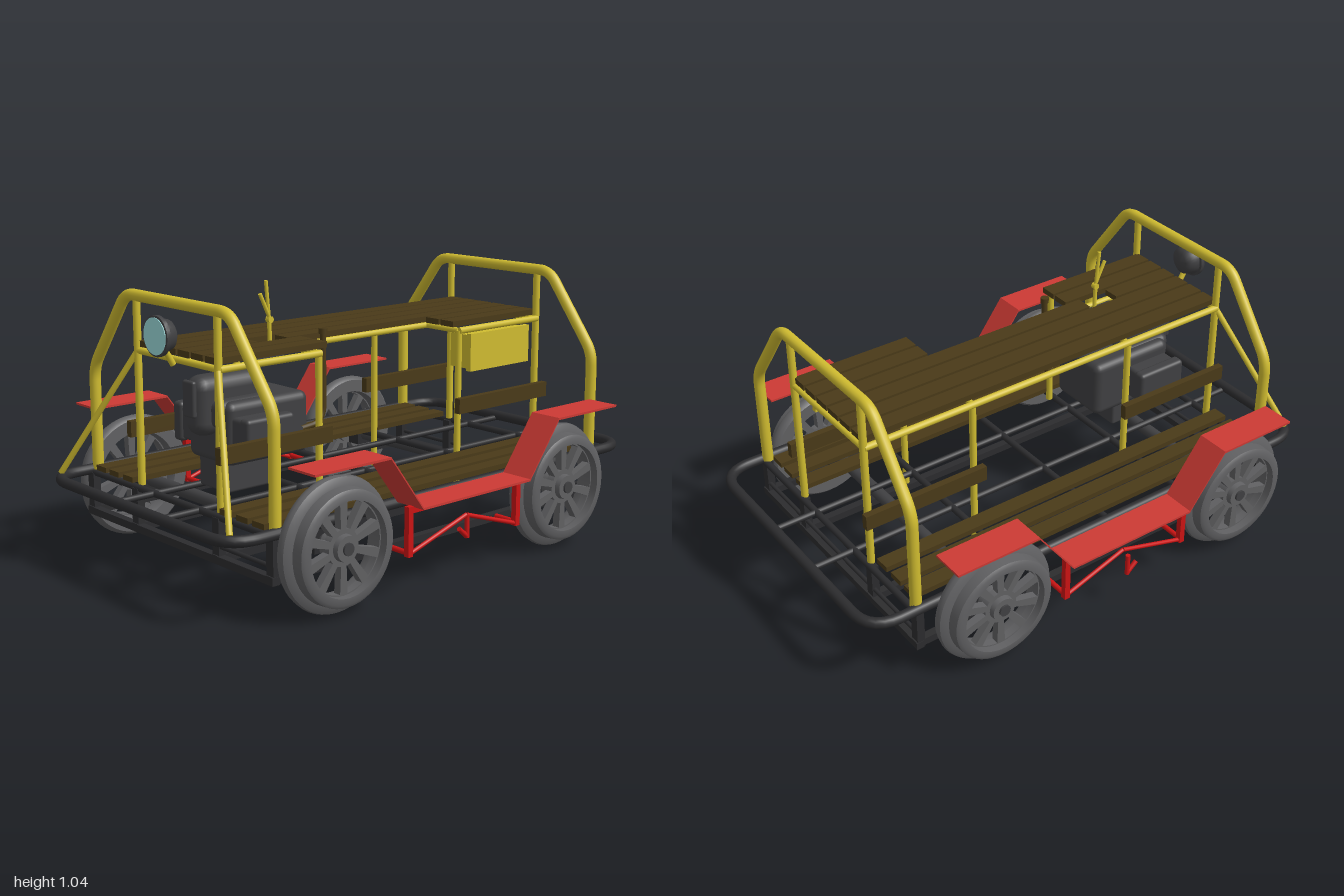
import * as THREE from 'three';
import { RoundedBoxGeometry } from 'three/addons/geometries/RoundedBoxGeometry.js';
import { toCreasedNormals } from 'three/addons/utils/BufferGeometryUtils.js';

const mat = (color) => new THREE.MeshStandardMaterial({ color, side: THREE.DoubleSide });
const V = (x, y, z) => new THREE.Vector3(x, y, z);

export function createModel() {
  const root = new THREE.Group();
  const yellow = mat(0xd0bc30), black = mat(0x2c2c2e), wood = mat(0x4a3a18), red = mat(0xcc3a34);
  const brightRed = mat(0xcc1414), steel = mat(0x606062), iron = mat(0x404042), glass = mat(0x9cdcdc);

  const add = (name, geo, m, x = 0, y = 0, z = 0, parent = root) => {
    const mesh = new THREE.Mesh(geo, m);
    mesh.name = name;
    mesh.position.set(x, y, z);
    parent.add(mesh);
    return mesh;
  };
  // Box given by its min and max on each axis
  const box = (name, m, x0, x1, y0, y1, z0, z1) =>
    add(name, new THREE.BoxGeometry(x1 - x0, y1 - y0, z1 - z0), m, (x0 + x1) / 2, (y0 + y1) / 2, (z0 + z1) / 2);
  // Round bar between two points
  const bar = (name, m, a, b, r, parent = root) => {
    const mesh = add(name, new THREE.CylinderGeometry(r, r, a.distanceTo(b), 14), m, 0, 0, 0, parent);
    mesh.position.copy(a).lerp(b, 0.5);
    mesh.quaternion.setFromUnitVectors(V(0, 1, 0), b.clone().sub(a).normalize());
    return mesh;
  };
  // Tube along straight runs with rounded corners
  const bentTube = (name, m, pts, r, bend, closed = false) => {
    const path = new THREE.CurvePath();
    const n = pts.length;
    const toward = (a, b) => a.clone().add(b.clone().sub(a).setLength(bend));
    let last = closed ? toward(pts[0], pts[1]) : pts[0];
    const first = last;
    for (let i = 1; i < (closed ? n + 1 : n - 1); i++) {
      const p = pts[i % n], start = toward(p, pts[(i - 1) % n]), end = toward(p, pts[(i + 1) % n]);
      path.add(new THREE.LineCurve3(last, start));
      path.add(new THREE.QuadraticBezierCurve3(start, p, end));
      last = end;
    }
    if (!closed) path.add(new THREE.LineCurve3(last, pts[n - 1]));
    else if (last.distanceTo(first) > 1e-4) path.add(new THREE.LineCurve3(last, first));
    return add(name, new THREE.TubeGeometry(path, 220, r, 14, closed), m);
  };

  // Chassis: rounded bumper ring, long rails and cross bars
  bentTube('bumperRing', black, [V(-0.54, 0.31, -0.98), V(0.54, 0.31, -0.98), V(0.54, 0.31, 0.98), V(-0.54, 0.31, 0.98)], 0.02, 0.12, true);
  for (const x of [-0.135, 0.135]) bar('chassisRail', black, V(x, 0.3, -0.98), V(x, 0.3, 0.98), 0.012);
  for (const z of [-0.8, -0.38, 0.04, 0.37, 0.8]) bar('chassisCrossBar', black, V(-0.54, 0.3, z), V(0.54, 0.3, z), 0.013);
  for (const x of [-0.53, -0.24, 0.24, 0.53]) {
    box('lowerRail', black, x - 0.015, x + 0.015, 0.142, 0.17, -0.81, 0.82);
    for (const z of [-0.79, 0.8]) box('hanger', black, x - 0.018, x + 0.018, 0.142, 0.3, z - 0.015, z + 0.015);
  }
  for (const z of [-0.795, 0.805]) {
    box('lowerCrossBar', black, -0.55, 0.55, 0.14, 0.168, z - 0.015, z + 0.015);
    bar('upperCrossRod', black, V(-0.54, 0.2, z), V(0.54, 0.2, z), 0.008);
  }

  // Wheels: flanged rim, spoked web and hub, outer face along +x
  const rimProfile = [[0.165, 0.61], [0.165, 0.66], [0.188, 0.66], [0.2, 0.652], [0.203, 0.612], [0.218, 0.608], [0.232, 0.6],
    [0.236, 0.588], [0.232, 0.57], [0.222, 0.56], [0.172, 0.56], [0.165, 0.575], [0.165, 0.61]];
  const rim = toCreasedNormals(new THREE.LatheGeometry(rimProfile.map(([r, y]) => new THREE.Vector2(r, y - 0.61)), 48), 0.6);
  rim.rotateZ(-Math.PI / 2);
  const webShape = new THREE.Shape().absarc(0, 0, 0.17, 0, Math.PI * 2);
  for (let i = 0; i < 10; i++) {
    const a = (i / 10) * Math.PI * 2, hole = new THREE.Path();
    hole.absarc(0, 0, 0.16, a - 0.21, a + 0.21, false);
    hole.absarc(0, 0, 0.065, a + 0.13, a - 0.13, true);
    hole.closePath();
    webShape.holes.push(hole);
  }
  const web = new THREE.ExtrudeGeometry(webShape, { depth: 0.03, bevelEnabled: false, curveSegments: 12 });
  web.rotateY(Math.PI / 2);
  const hub = new THREE.CylinderGeometry(0.045, 0.055, 0.08, 24).rotateZ(-Math.PI / 2);
  const cap = new THREE.CylinderGeometry(0.022, 0.022, 0.095, 16).rotateZ(-Math.PI / 2);
  for (const z of [0.585, -0.515]) {
    bar('axle', iron, V(-0.6, 0.24, z), V(0.6, 0.24, z), 0.024);
    for (const s of [-1, 1]) {
      const wheel = new THREE.Group();
      wheel.name = 'wheel';
      wheel.position.set(s * 0.61, 0.24, z);
      if (s < 0) wheel.rotation.y = Math.PI;
      add('rim', rim, steel, 0, 0, 0, wheel);
      add('spokes', web, steel, -0.01, 0, 0, wheel);
      add('hub', hub, steel, 0, 0, 0, wheel);
      add('hubCap', cap, iron, 0, 0, 0, wheel);
      root.add(wheel);
      box('axleBox', black, s * 0.5 - 0.03, s * 0.5 + 0.03, 0.2, 0.3, z - 0.04, z + 0.04);
    }
  }

  // Fenders dip to form a running board, with a truss bracket below
  const dip = [[0.765, 0.532], [0.437, 0.532], [0.285, 0.33], [-0.25, 0.33], [-0.4, 0.532], [-0.73, 0.532]];
  const outline = [...dip, ...dip.slice().reverse().map(([z, y]) => [z, y - 0.008])];
  const fender = new THREE.ExtrudeGeometry(new THREE.Shape(outline.map(([z, y]) => new THREE.Vector2(z, y))), { depth: 0.13, bevelEnabled: false });
  fender.rotateY(-Math.PI / 2);
  for (const s of [-1, 1]) {
    add('fender', fender, red, s > 0 ? 0.697 : -0.567, 0, 0);
    const x = s * 0.64;
    for (const z of [0.3, -0.24]) {
      box('stepPost', brightRed, x - 0.011, x + 0.011, 0.148, 0.325, z - 0.011, z + 0.011);
      bar('stepArm', brightRed, V(s * 0.53, 0.16, z), V(x, 0.16, z), 0.01);
      bar('stepTrussBar', brightRed, V(x, 0.155, z), V(x, 0.24, 0.02), 0.008);
    }
    box('stepRail', brightRed, x - 0.011, x + 0.011, 0.302, 0.326, -0.25, 0.31);
    const out = s < 0 ? -0.675 : x;
    bar('stepHook', brightRed, V(out, 0.24, 0.015), V(out, 0.155, 0.015), 0.009);
    bar('stepHook', brightRed, V(out, 0.16, 0.015), V(out, 0.195, 0.055), 0.009);
  }

  // Roll hoops at both ends with posts, brace bars and deck rails
  for (const z of [0.785, -0.79]) {
    bentTube('rollHoop', yellow, [V(-0.523, 0.31, z), V(-0.523, 0.7, z), V(-0.3, 0.995, z),
      V(0.3, 0.995, z), V(0.523, 0.7, z), V(0.523, 0.31, z)], 0.021, 0.05);
    bar('deckEndBar', yellow, V(-0.235, 0.8, z), V(0.235, 0.8, z), 0.012);
    for (const x of [-0.235, 0.235]) bar('hoopPost', yellow, V(x, 0.31, z), V(x, 0.99, z), 0.014);
  }
  for (const x of [-0.235, 0.235]) {
    bar('hoopBrace', yellow, V(x, 0.8, 0.785), V(Math.sign(x) * 0.505, 0.33, 0.955), 0.011);
    for (const z of [0.35, -0.35]) bar('deckPost', yellow, V(x, z < 0 ? 0.18 : 0.3, z), V(x, 0.8, z), 0.013);
    if (x < 0) bar('deckRail', yellow, V(-0.24, 0.8, -0.79), V(-0.24, 0.8, 0.785), 0.013);
    else for (const [a, b] of [[-0.79, -0.345], [0.345, 0.785]]) bar('deckRail', yellow, V(0.24, 0.8, a), V(0.24, 0.8, b), 0.013);
  }
  bar('deckRail', yellow, V(0.06, 0.8, -0.79), V(0.06, 0.8, 0.785), 0.012);
  for (const z of [0.345, -0.35]) bar('deckCrossBar', yellow, V(-0.235, 0.8, z), V(0.235, 0.8, z), 0.011);

  // Wooden deck: four long planks and short ones widening both ends
  for (let i = 0; i < 6; i++) {
    const x = -0.195 + i * 0.078;
    const runs = i < 3 ? [[-0.79, 0.785]] : i === 3 ? [[-0.79, 0.36], [0.49, 0.785]] : [[-0.79, -0.325], [0.305, 0.785]];
    for (const [a, b] of runs) box('deckPlank', wood, x - 0.033, x + 0.033, 0.814, 0.836, a, b);
  }
  // Floor planks and side boards
  for (const s of [-1, 1]) {
    for (const x of [0.29, 0.38, 0.465]) box('floorPlank', wood, s * x - 0.031, s * x + 0.031, 0.315, 0.335, -0.78, 0.81);
    for (const [a, b] of [[-0.82, -0.32], [0.32, 0.815]])
      box('sideBoard', wood, s * 0.262 - 0.013, s * 0.262 + 0.013, 0.485, 0.543, a, b);
  }

  // Tool box under the rear of the deck
  box('toolBox', yellow, 0.16, 0.25, 0.65, 0.78, -0.7, -0.385);
  box('toolBoxLid', yellow, 0.25, 0.272, 0.642, 0.787, -0.708, -0.378);

  // Engine: crankcase, block, side cylinders and rounded cowl
  const engineBox = (name, x, y, z, w, h, d, r) => add(name, new RoundedBoxGeometry(w, h, d, 3, r), iron, x, y, z);
  engineBox('engineBase', 0, 0.375, 0.53, 0.17, 0.12, 0.22, 0.01);
  engineBox('engineBlock', 0, 0.532, 0.48, 0.25, 0.226, 0.36, 0.03);
  engineBox('engineCowl', 0, 0.626, 0.595, 0.11, 0.215, 0.28, 0.05);
  engineBox('cowlFace', 0, 0.655, 0.735, 0.064, 0.13, 0.02, 0.009);
  engineBox('engineShoulder', 0, 0.6, 0.57, 0.2, 0.1, 0.23, 0.03);
  for (const s of [-1, 1]) {
    engineBox('cylinder', s * 0.15, 0.53, 0.55, 0.12, 0.13, 0.19, 0.015);
    engineBox('cylinderHead', s * 0.195, 0.53, 0.55, 0.05, 0.145, 0.21, 0.015);
  }
  // Exhaust
  bentTube('exhaustPipe', wood, [V(0.125, 0.51, 0.34), V(0.125, 0.52, 0.235), V(0.125, 0.85, 0.235)], 0.011, 0.06);
  add('exhaustCap', new THREE.CylinderGeometry(0.016, 0.016, 0.02, 14), wood, 0.125, 0.852, 0.235);

  // Control lever rising through the deck
  box('leverBase', iron, -0.01, 0.055, 0.74, 0.8, 0.36, 0.49);
  bar('lever', yellow, V(0.03, 0.74, 0.4), V(0.03, 0.9, 0.405), 0.008);
  bar('leverHandle', yellow, V(0.03, 0.9, 0.405), V(0.03, 1.04, 0.418), 0.007);
  bar('leverGrip', yellow, V(0.03, 0.9, 0.4), V(0.03, 0.995, 0.445), 0.007);
  add('leverPivot', new THREE.CylinderGeometry(0.012, 0.012, 0.02, 12).rotateZ(Math.PI / 2), yellow, 0.03, 0.9, 0.403);

  // Headlamp
  const bowl = [[0, 0], [0.035, 0.002], [0.052, 0.015], [0.058, 0.035], [0.063, 0.05], [0.071, 0.053], [0.071, 0.068], [0.062, 0.07]];
  const bowlGeo = toCreasedNormals(new THREE.LatheGeometry(bowl.map(([r, y]) => new THREE.Vector2(r, y)), 32), 0.7);
  add('headlampBowl', bowlGeo.rotateX(Math.PI / 2), iron, 0, 0.89, 0.802);
  add('headlampLens', new THREE.CylinderGeometry(0.064, 0.064, 0.012, 32).rotateX(Math.PI / 2), glass, 0, 0.89, 0.868);
  bar('headlampStand', yellow, V(0, 0.785, 0.8), V(0, 0.835, 0.83), 0.011);

  return root;
}
